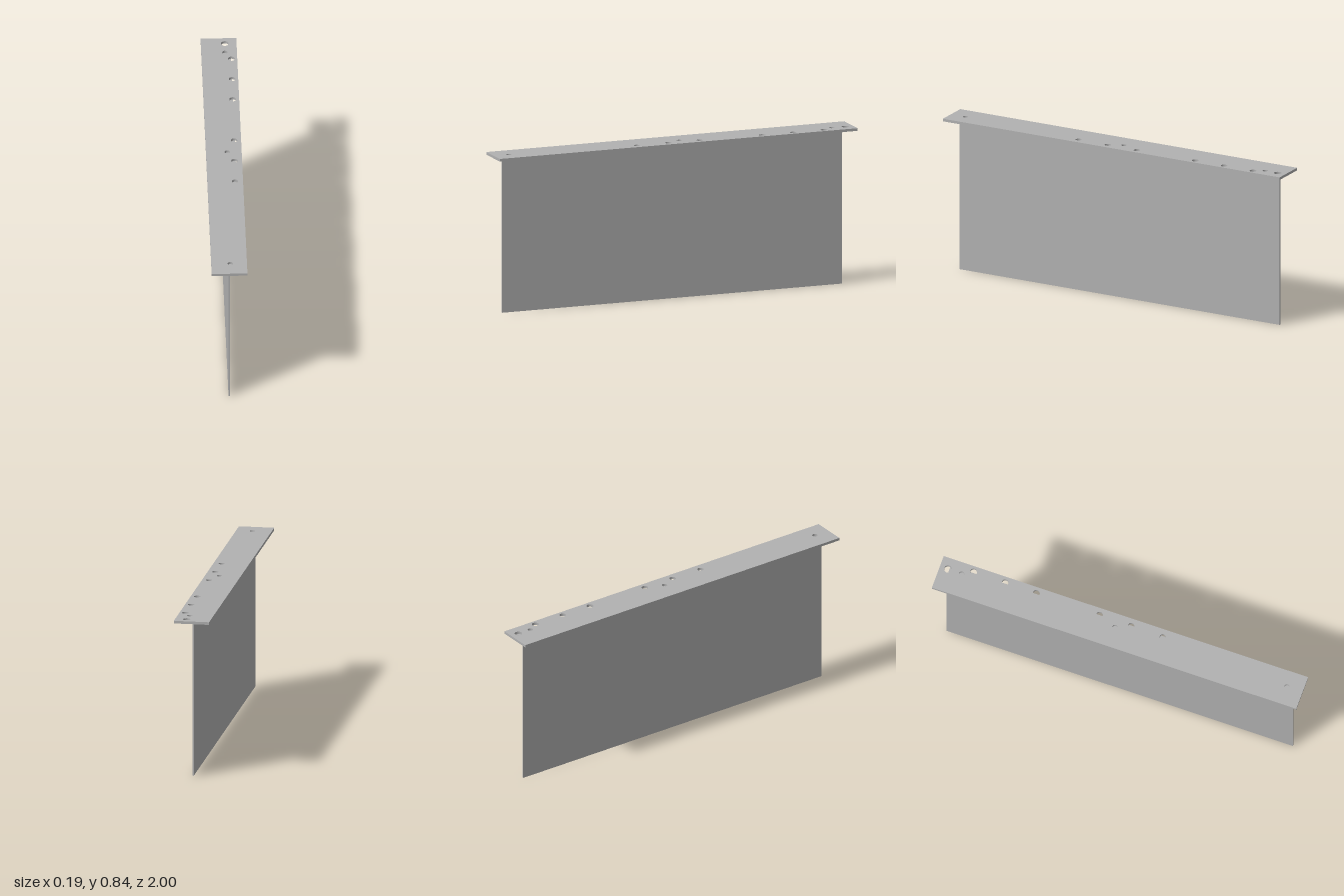
import * as THREE from 'three';

export function createModel() {
  const group = new THREE.Group();
  const steel = new THREE.MeshStandardMaterial({ color: 0xb2b2b2 });
  steel.name = 'plain grey';

  const add = (name, geometry) => {
    const mesh = new THREE.Mesh(geometry, steel);
    mesh.name = name;
    group.add(mesh);
  };
  // box given by its limits on each axis
  const slab = (x0, x1, y0, y1, z0, z1) =>
    new THREE.BoxGeometry(x1 - x0, y1 - y0, z1 - z0)
      .translate((x0 + x1) / 2, (y0 + y1) / 2, (z0 + z1) / 2);

  // top plate with drilled holes: [x, z, radius]
  const holes = [
    [0.032, -0.955, 0.02], [0.03, -0.88, 0.014], [0.062, -0.825, 0.018],
    [0.061, -0.652, 0.017], [0.059, -0.48, 0.018], [0.056, -0.132, 0.017],
    [0.018, -0.034, 0.014], [0.053, 0.042, 0.017], [0.05, 0.217, 0.016],
    [0.006, 0.914, 0.014],
  ];
  const w = 0.0925, bottom = 0.822, top = 0.836;
  const outline = new THREE.Shape();
  outline.moveTo(-w, -1).lineTo(w, -1).lineTo(w, 1).lineTo(-w, 1).closePath();
  for (const [x, z, r] of holes) {
    // shape y becomes -z once the plate is laid flat
    outline.holes.push(new THREE.Path().absarc(x, -z, r, 0, Math.PI * 2, true));
  }
  const plate = new THREE.ExtrudeGeometry(outline, {
    depth: top - bottom, bevelEnabled: false, curveSegments: 24,
  });
  plate.rotateX(-Math.PI / 2).translate(0, bottom, 0);
  add('topPlate', plate);

  // thin upright panel and the lip folded out under the plate
  add('panel', slab(-0.004, 0.003, 0, bottom, -0.95, 0.95));
  add('foldedLip', slab(0.003, 0.06, 0.814, bottom, -0.95, 0.95));

  return group;
}
